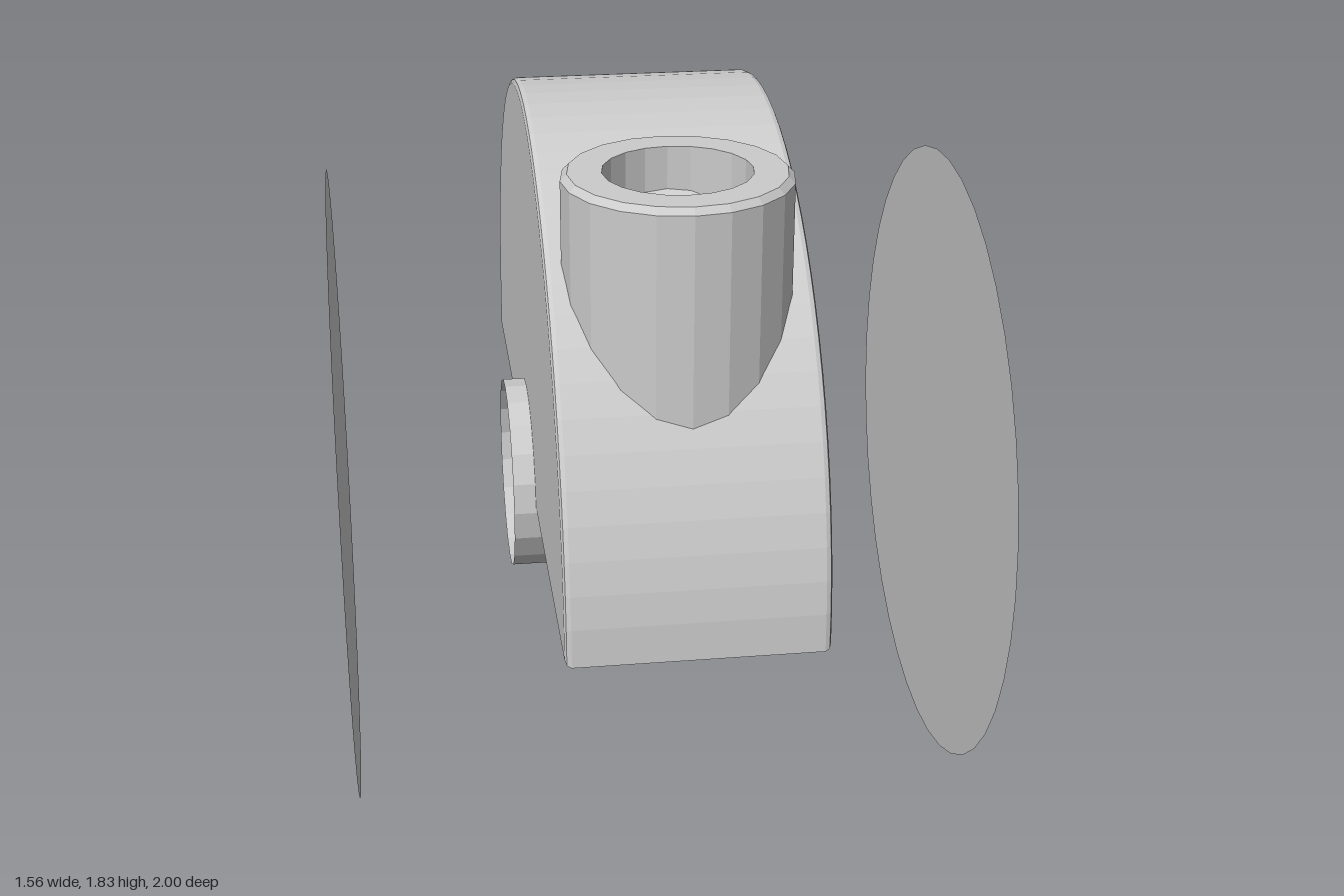
import * as THREE from 'three';

export function createModel() {
  const model = new THREE.Group();
  const material = new THREE.MeshStandardMaterial({
    color: 0xcccccc, flatShading: true, side: THREE.DoubleSide,
  });
  const add = (name, geometry, x, y, z) => {
    const mesh = new THREE.Mesh(geometry, material);
    mesh.name = name;
    mesh.position.set(x, y, z);
    model.add(mesh);
    return mesh;
  };

  // Half-round hood with a narrow rounded edge
  const bevel = 0.015, halfWidth = 0.3;
  const arch = new THREE.Shape();
  arch.absarc(0, 0, 1 - bevel, 0, Math.PI, false);
  arch.closePath();
  const hood = new THREE.ExtrudeGeometry(arch, {
    depth: 2 * (halfWidth - bevel), curveSegments: 20,
    bevelEnabled: true, bevelSize: bevel, bevelThickness: bevel, bevelSegments: 2,
  });
  hood.translate(0, 0, bevel - halfWidth).rotateY(Math.PI / 2);
  add('hood', hood, 0, 0.828, 0);

  // Open axle sleeve through the hood
  const sleeve = new THREE.CylinderGeometry(0.243, 0.243, 0.71, 20, 1, true);
  sleeve.rotateZ(Math.PI / 2);
  add('axleSleeve', sleeve, 0, 0.813, 0);

  // Hollow stem socket, its lower end buried in the hood
  const socketProfile = [
    [0.26, 1.1], [0.26, 1.81], [0.245, 1.825], [0.168, 1.825], [0.168, 1.1],
  ].map(([r, y]) => new THREE.Vector2(r, y));
  add('stemSocket', new THREE.LatheGeometry(socketProfile, 20), 0, 0, 0.61);

  // Thin wheel discs, one on each side
  for (const side of [-1, 1]) {
    const disc = new THREE.CircleGeometry(0.807, 40);
    disc.rotateY(side * Math.PI / 2);
    add(side > 0 ? 'leftWheelDisc' : 'rightWheelDisc', disc, side * 0.778, 0.807, 0);
  }

  return model;
}
